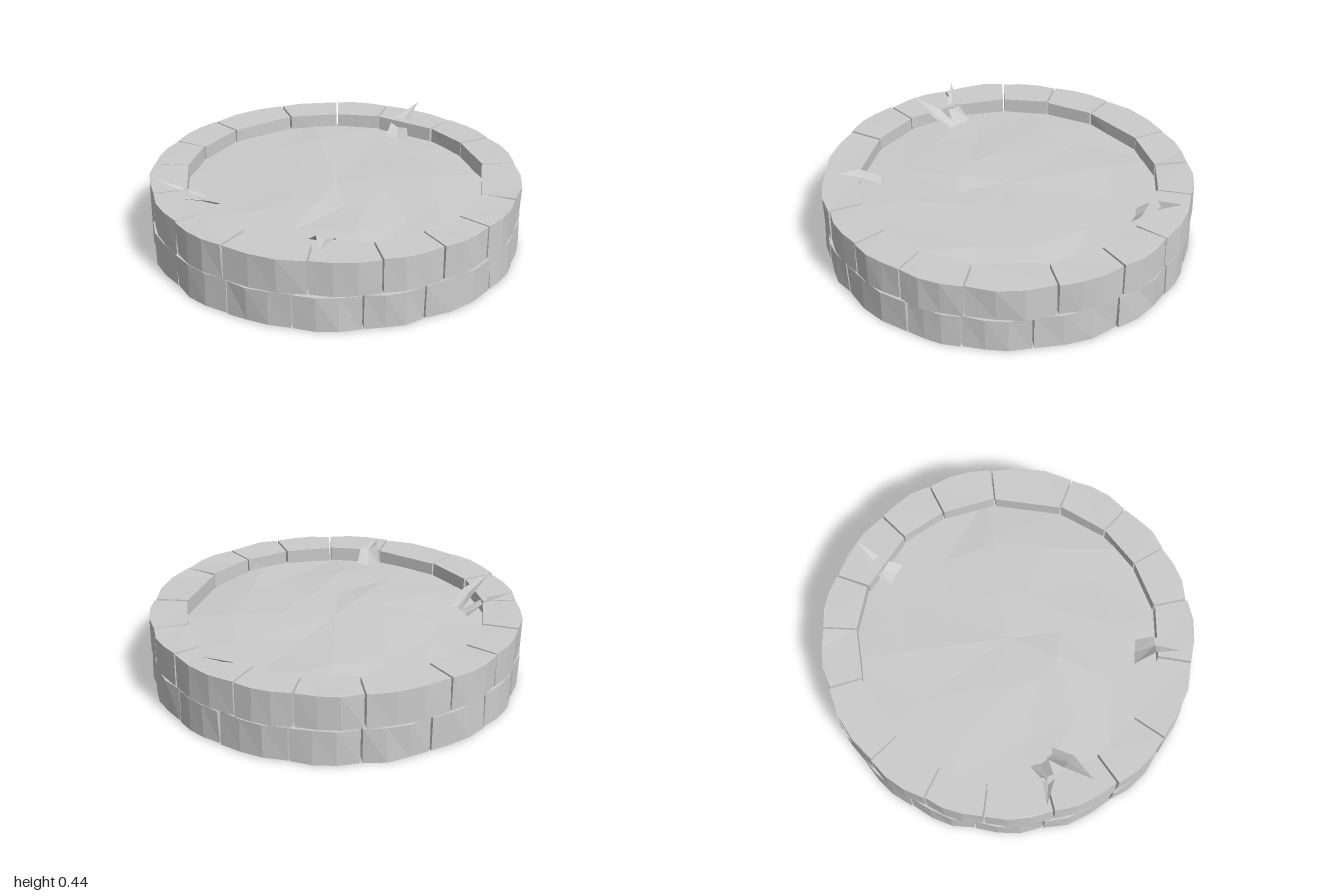
import * as THREE from 'three';

const material = new THREE.MeshStandardMaterial({ color: 0xcccccc, flatShading: true });
const thinMaterial = new THREE.MeshStandardMaterial({ color: 0xcccccc, flatShading: true, side: THREE.DoubleSide });

// Repeatable value in -1..1 from a position, so shared corners move together
function wobble(x, y, z, seed) {
  const s = Math.sin(x * 127.1 + y * 311.7 + z * 74.7 + seed * 53.3) * 43758.5453;
  return (s - Math.floor(s)) * 2 - 1;
}

// Joint angles of each course in degrees, measured from +x towards +z
const upperJoints = [11.5, 32.5, 59, 79, 97, 116, 137, 163, 183, 204, 225, 243.5, 263.5, 290, 310, 328, 353];
const lowerJoints = [13, 39.5, 60, 77, 103, 121.5, 141.5, 162, 184, 207, 228, 249, 270, 291, 311.5, 333.6, 351.4];

// One stone: faceted outer arc, straight inner face, slightly uneven corners
function stone(startDeg, endDeg, bottom, top, seed) {
  const gap = 0.005;
  const a = THREE.MathUtils.degToRad(startDeg);
  const b = THREE.MathUtils.degToRad(endDeg);
  const point = (r, t) => new THREE.Vector2(r * Math.cos(t), r * Math.sin(t));
  const outline = [];
  const steps = 3;
  for (let i = 0; i <= steps; i++) {
    const t = THREE.MathUtils.lerp(a + gap, b - gap, i / steps);
    outline.push(point(i === 0 || i === steps ? 0.982 : 0.994, t));
  }
  outline.push(point(0.805, b - gap * 1.2), point(0.805, a + gap * 1.2));
  const geometry = new THREE.ExtrudeGeometry(new THREE.Shape(outline), { depth: top - bottom, bevelEnabled: false });
  geometry.rotateX(Math.PI / 2).translate(0, top, 0);
  const p = geometry.attributes.position;
  for (let i = 0; i < p.count; i++) {
    const [x, y, z] = [p.getX(i), p.getY(i), p.getZ(i)].map(v => Math.round(v * 1000) / 1000);
    const scale = 1 + 0.006 * wobble(x, y, z, seed);
    p.setXYZ(i, x * scale, y + 0.003 * wobble(z, x, y, seed + 1), z * scale);
  }
  geometry.computeVertexNormals();
  return new THREE.Mesh(geometry, material);
}

function course(name, joints, bottom, top) {
  const group = new THREE.Group();
  group.name = name;
  joints.forEach((start, i) => {
    const end = i + 1 < joints.length ? joints[i + 1] : joints[0] + 360;
    const mesh = stone(start, end, bottom, top, i);
    mesh.name = 'stone';
    group.add(mesh);
  });
  return group;
}

// Gently uneven sheet of soil inside the ring
function soil() {
  const geometry = new THREE.RingGeometry(0, 0.86, 12, 3).rotateX(-Math.PI / 2);
  const p = geometry.attributes.position;
  for (let i = 0; i < p.count; i++) {
    const x = p.getX(i), z = p.getZ(i);
    const r = Math.hypot(x, z);
    const bump = 0.012 * wobble(Math.round(x * 50), 0, Math.round(z * 50), 4);
    p.setY(i, 0.325 - 0.03 * r * r + (r > 0.1 ? bump : 0));
  }
  geometry.computeVertexNormals();
  const mesh = new THREE.Mesh(geometry, thinMaterial);
  mesh.name = 'soil';
  return mesh;
}

// Leaf blade: base edge, wider middle edge with a centre fold, pointed tip
function leaf(baseL, baseR, midL, midR, tip) {
  const mid = (p, q, drop) => [(p[0] + q[0]) / 2, (p[1] + q[1]) / 2 - drop, (p[2] + q[2]) / 2];
  const points = [baseL, mid(baseL, baseR, 0.01), baseR, midL, mid(midL, midR, 0.015), midR, tip];
  const geometry = new THREE.BufferGeometry();
  geometry.setAttribute('position', new THREE.Float32BufferAttribute(points.flat(), 3));
  geometry.setIndex([0, 1, 4, 0, 4, 3, 1, 2, 5, 1, 5, 4, 3, 4, 6, 4, 5, 6]);
  geometry.computeVertexNormals();
  const mesh = new THREE.Mesh(geometry, thinMaterial);
  mesh.name = 'leaf';
  return mesh;
}

export function createModel() {
  const model = new THREE.Group();
  model.name = 'roundStonePlanter';
  model.add(course('lowerCourse', lowerJoints, 0.008, 0.195));
  model.add(course('upperCourse', upperJoints, 0.2, 0.383));
  model.add(soil());

  // Leaves resting over the rim
  const leaves = new THREE.Group();
  leaves.name = 'leaves';
  leaves.add(
    leaf([-0.63, 0.32, -0.34], [-0.65, 0.31, -0.24], [-0.73, 0.38, -0.345], [-0.765, 0.38, -0.29], [-0.86, 0.445, -0.42]),
    leaf([-0.64, 0.31, -0.25], [-0.61, 0.31, -0.19], [-0.75, 0.39, -0.22], [-0.73, 0.385, -0.14], [-0.9, 0.45, -0.15]),
    leaf([0.64, 0.31, -0.31], [0.70, 0.31, -0.19], [0.72, 0.375, -0.35], [0.77, 0.375, -0.27], [0.91, 0.45, -0.33]),
    leaf([-0.53, 0.34, 0.44], [-0.43, 0.34, 0.53], [-0.57, 0.42, 0.55], [-0.49, 0.4, 0.6], [-0.64, 0.41, 0.66])
  );
  model.add(leaves);
  return model;
}
